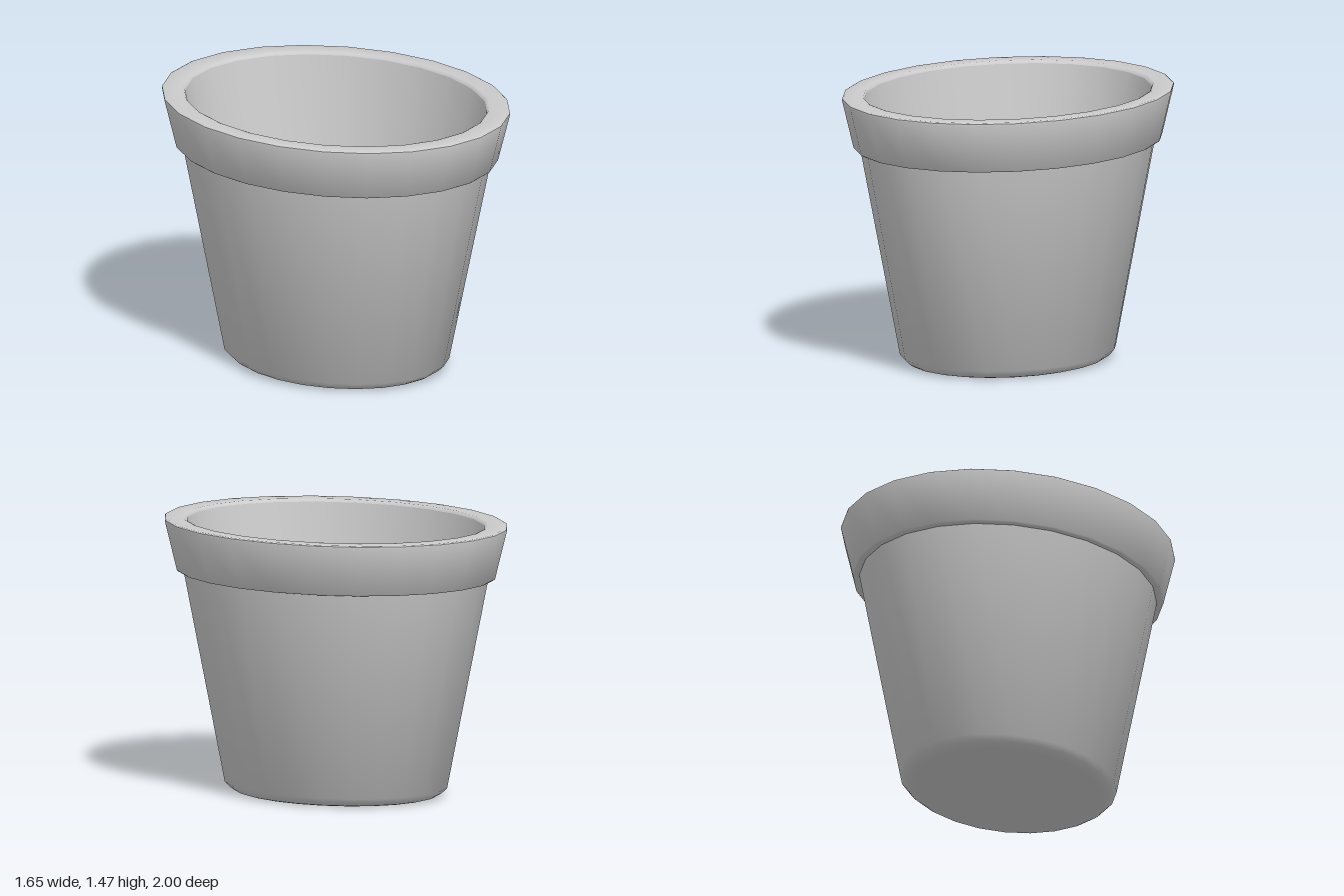
import * as THREE from 'three';
import { toCreasedNormals } from 'three/addons/utils/BufferGeometryUtils.js';

const SIDES = 24;
const OVAL = 0.825; // width of the oval relative to its depth

// Turns a [radius, height] profile into an oval shell
function ovalLathe(name, profile, material) {
  const points = profile.map(([r, y]) => new THREE.Vector2(r, y));
  const geometry = new THREE.LatheGeometry(points, SIDES);
  geometry.scale(OVAL, 1, 1);
  const mesh = new THREE.Mesh(toCreasedNormals(geometry, 0.85), material);
  mesh.name = name;
  return mesh;
}

export function createModel() {
  const group = new THREE.Group();
  group.name = 'ovalPlantPot';
  const material = new THREE.MeshStandardMaterial({ color: 0xcccccc, side: THREE.DoubleSide });

  // Flat base, rounded foot and tapering outer wall
  group.add(ovalLathe('outerWall', [
    [0, 0], [0.565, 0], [0.595, 0.007], [0.62, 0.022], [0.65, 0.05], [0.89, 1.185],
  ], material));

  // Overhanging collar with softened edges and a flat lip
  group.add(ovalLathe('rim', [
    [0.89, 1.185], [0.922, 1.185], [0.93, 1.192],
    [0.999, 1.452], [0.998, 1.46], [0.988, 1.465],
    [0.885, 1.465], [0.873, 1.461], [0.865, 1.45],
  ], material));

  // Inner wall and floor
  group.add(ovalLathe('innerWall', [[0.865, 1.45], [0.585, 0.1]], material));
  group.add(ovalLathe('innerFloor', [[0.585, 0.1], [0, 0.1]], material));

  return group;
}
